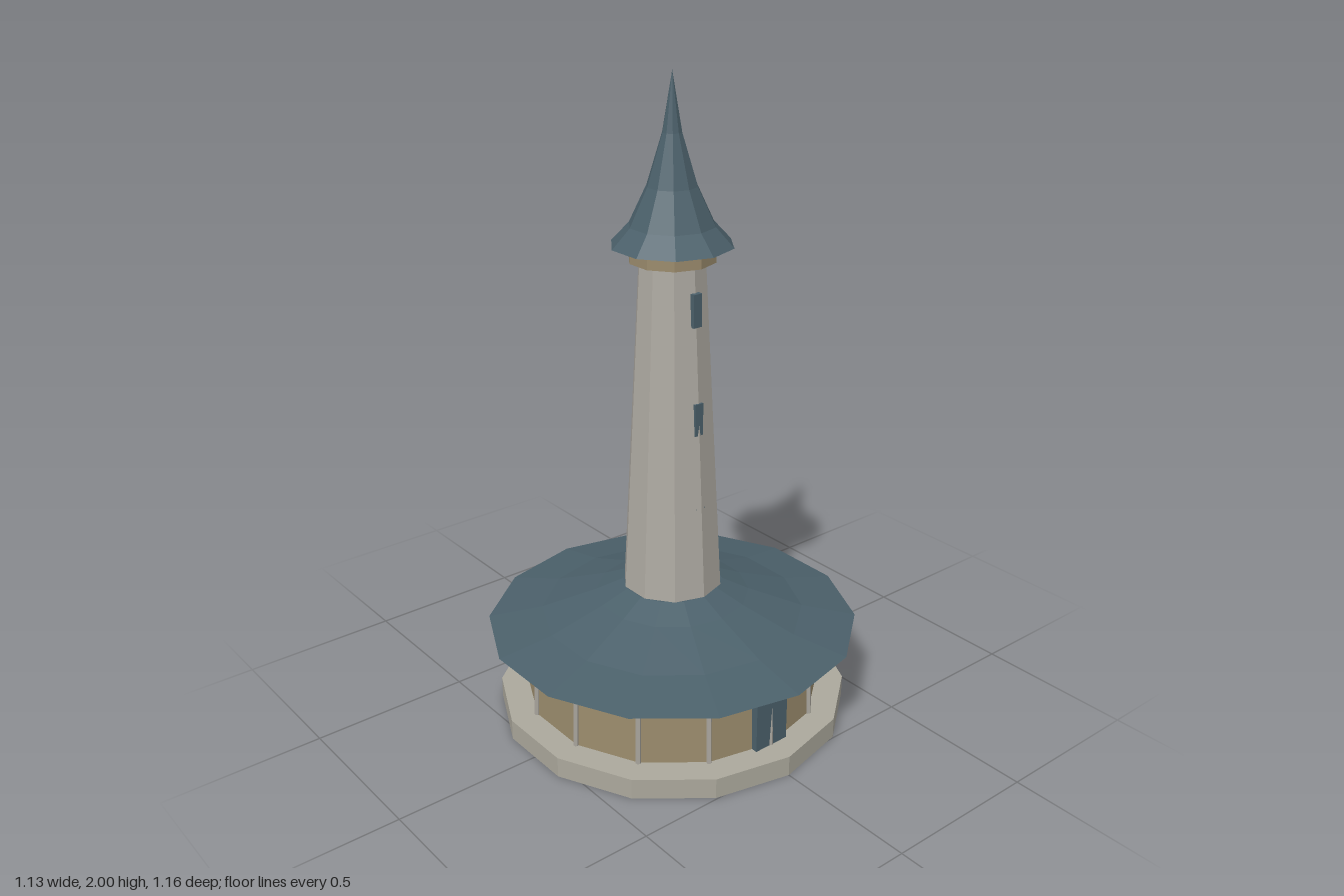
import * as THREE from 'three';

const SIDES = 14;        // pavilion
const TOWER_SIDES = 10;  // tower

const paint = (name, color) => {
  const m = new THREE.MeshStandardMaterial({ color });
  m.name = name;
  m.flatShading = true;
  return m;
};

export function createModel() {
  const group = new THREE.Group();
  const stone = paint('stone', 0xaeaaa2);
  const plinthStone = paint('plinth stone', 0xaba89c);
  const slate = paint('slate blue', 0x4b606a);
  const timber = paint('tan timber', 0x9a8b6c);
  const trim = paint('pale trim', 0xaaa69e);

  const add = (name, geometry, material, x = 0, y = 0, z = 0) => {
    const mesh = new THREE.Mesh(geometry, material);
    mesh.name = name;
    mesh.position.set(x, y, z);
    group.add(mesh);
    return mesh;
  };
  // Upright prism with a corner facing +z
  const prism = (name, rTop, rBottom, y0, y1, sides, material) =>
    add(name, new THREE.CylinderGeometry(rTop, rBottom, y1 - y0, sides), material, 0, (y0 + y1) / 2);
  // Faceted roof closed underneath; profile runs from eave to top
  const roof = (name, profile, sides) => {
    const points = [[0, profile[0][1]], ...profile].map(([r, y]) => new THREE.Vector2(r, y));
    return add(name, new THREE.LatheGeometry(points, sides), slate);
  };

  // Round pavilion
  prism('plinth', 0.55, 0.55, 0, 0.065, SIDES, plinthStone);
  prism('pavilionWall', 0.457, 0.465, 0.065, 0.3, SIDES, timber);
  roof('pavilionRoof', [[0.58, 0.295], [0.41, 0.33], [0.24, 0.392], [0.155, 0.43], [0, 0.43]], SIDES);

  // Leaning posts on every corner of the wall
  const up = new THREE.Vector3(0, 1, 0);
  for (let i = 0; i < SIDES; i++) {
    const a = (i / SIDES) * Math.PI * 2;
    const foot = new THREE.Vector3(Math.sin(a) * 0.467, 0.065, Math.cos(a) * 0.467);
    const head = new THREE.Vector3(Math.sin(a) * 0.459, 0.3, Math.cos(a) * 0.459);
    const dir = head.clone().sub(foot);
    const post = add('post', new THREE.CylinderGeometry(0.008, 0.008, dir.length(), 6), trim);
    post.position.copy(foot).add(head).multiplyScalar(0.5);
    post.quaternion.setFromUnitVectors(up, dir.normalize());
  }

  // Entrance
  add('door', new THREE.BoxGeometry(0.12, 0.205, 0.03), slate, 0, 0.1675, 0.4555);
  add('doorLintel', new THREE.BoxGeometry(0.136, 0.014, 0.034), trim, 0, 0.277, 0.456);

  // Tower, collar and spire
  prism('tower', 0.1, 0.155, 0.43, 1.47, TOWER_SIDES, stone);
  prism('towerCollar', 0.13, 0.13, 1.465, 1.515, TOWER_SIDES, timber);
  roof('spire', [[0.182, 1.51], [0.128, 1.568], [0.075, 1.68], [0.029, 1.83], [0, 2]], TOWER_SIDES);

  // Windows stacked up the front of the tower
  for (let i = 0; i < 3; i++) {
    add('window', new THREE.BoxGeometry(0.03, 0.1, 0.03), slate, 0, 0.675 + i * 0.332, 0.12 - i * 0.0095);
  }
  return group;
}
